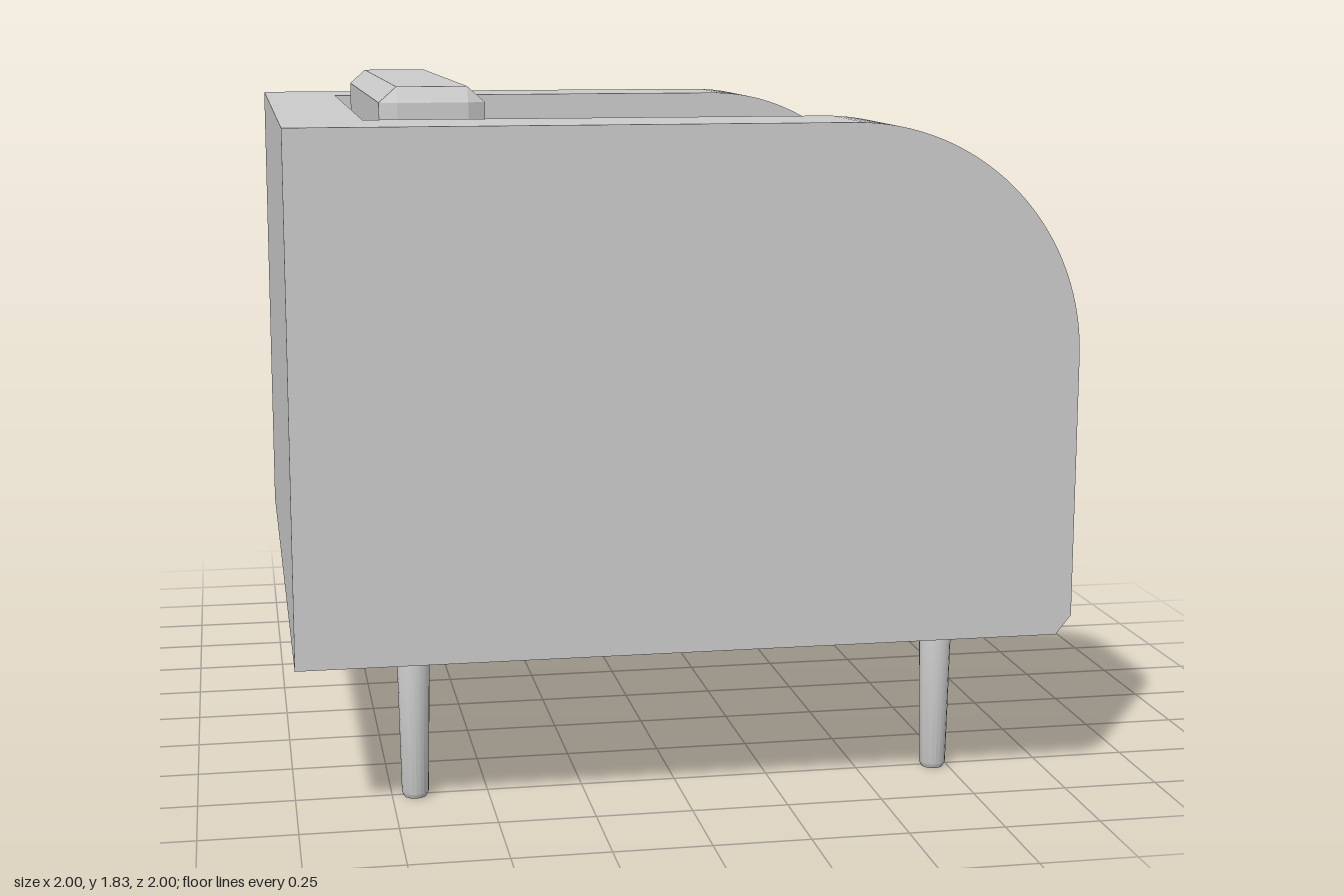
import * as THREE from 'three';
import { ConvexGeometry } from 'three/addons/geometries/ConvexGeometry.js';
import { toCreasedNormals } from 'three/addons/utils/BufferGeometryUtils.js';

const material = new THREE.MeshStandardMaterial({ color: 0xcccccc });
const V = (x, y) => new THREE.Vector2(x, y);

function addMesh(parent, name, geometry, x = 0, y = 0, z = 0) {
  const mesh = new THREE.Mesh(geometry, material);
  mesh.name = name;
  mesh.position.set(x, y, z);
  parent.add(mesh);
  return mesh;
}

// Side profile (x, y) pulled along z from z0 to z1
function slab(shape, z0, z1) {
  const geometry = new THREE.ExtrudeGeometry(shape, { depth: z1 - z0, bevelEnabled: false, curveSegments: 20 });
  geometry.translate(0, 0, z0);
  return toCreasedNormals(geometry, 0.4);
}

// Box with every edge cut; the chamfer c is set per axis
function cushion(size, c) {
  const [hx, hy, hz] = size.map((s) => s / 2);
  const points = [];
  for (const i of [-1, 1]) for (const j of [-1, 1]) for (const k of [-1, 1]) {
    points.push(
      new THREE.Vector3(i * hx, j * (hy - c[1]), k * (hz - c[2])),
      new THREE.Vector3(i * (hx - c[0]), j * hy, k * (hz - c[2])),
      new THREE.Vector3(i * (hx - c[0]), j * (hy - c[1]), k * hz),
    );
  }
  return new ConvexGeometry(points);
}

export function createModel() {
  const chair = new THREE.Group();
  chair.name = 'armchair';

  // Arms: tall slabs with a large rounded front shoulder
  const arm = new THREE.Shape();
  arm.moveTo(-1, 0.42);
  arm.lineTo(0.96, 0.42);
  arm.lineTo(1, 0.47);
  arm.lineTo(1, 1.15);
  arm.absarc(0.4, 1.15, 0.6, 0, Math.PI / 2, false);
  arm.lineTo(-1, 1.75);
  arm.closePath();
  addMesh(chair, 'leftArm', slab(arm, -1, -0.7));
  addMesh(chair, 'rightArm', slab(arm, 0.685, 1));

  // Seat base and backrest in one L-shaped profile between the arms
  const frame = new THREE.Shape([
    V(-1, 0.42), V(0.96, 0.42), V(1, 0.47), V(1, 0.7), V(0.96, 0.745),
    V(-0.77, 0.745), V(-0.77, 1.72), V(-0.79, 1.75), V(-1, 1.75),
  ]);
  addMesh(chair, 'baseAndBackrest', slab(frame, -0.7, 0.685));

  // Loose cushions
  addMesh(chair, 'seatCushion', cushion([1.75, 0.27, 1.35], [0.04, 0.045, 0.025]), 0.115, 0.885, -0.008);
  addMesh(chair, 'backCushion', cushion([0.27, 0.79, 1.33], [0.045, 0.04, 0.025]), -0.61, 1.435, -0.008);

  // Four tapered legs with softened ends
  const legProfile = [V(0, 0), V(0.029, 0), V(0.035, 0.012), V(0.043, 0.4), V(0.039, 0.42), V(0, 0.42)];
  const legGeometry = toCreasedNormals(new THREE.LatheGeometry(legProfile, 20), 0.5);
  for (const [x, end] of [[0.71, 'front'], [-0.69, 'back']]) {
    for (const [z, side] of [[-0.76, 'Left'], [0.76, 'Right']]) {
      addMesh(chair, `${end}${side}Leg`, legGeometry, x, 0, z);
    }
  }
  return chair;
}
